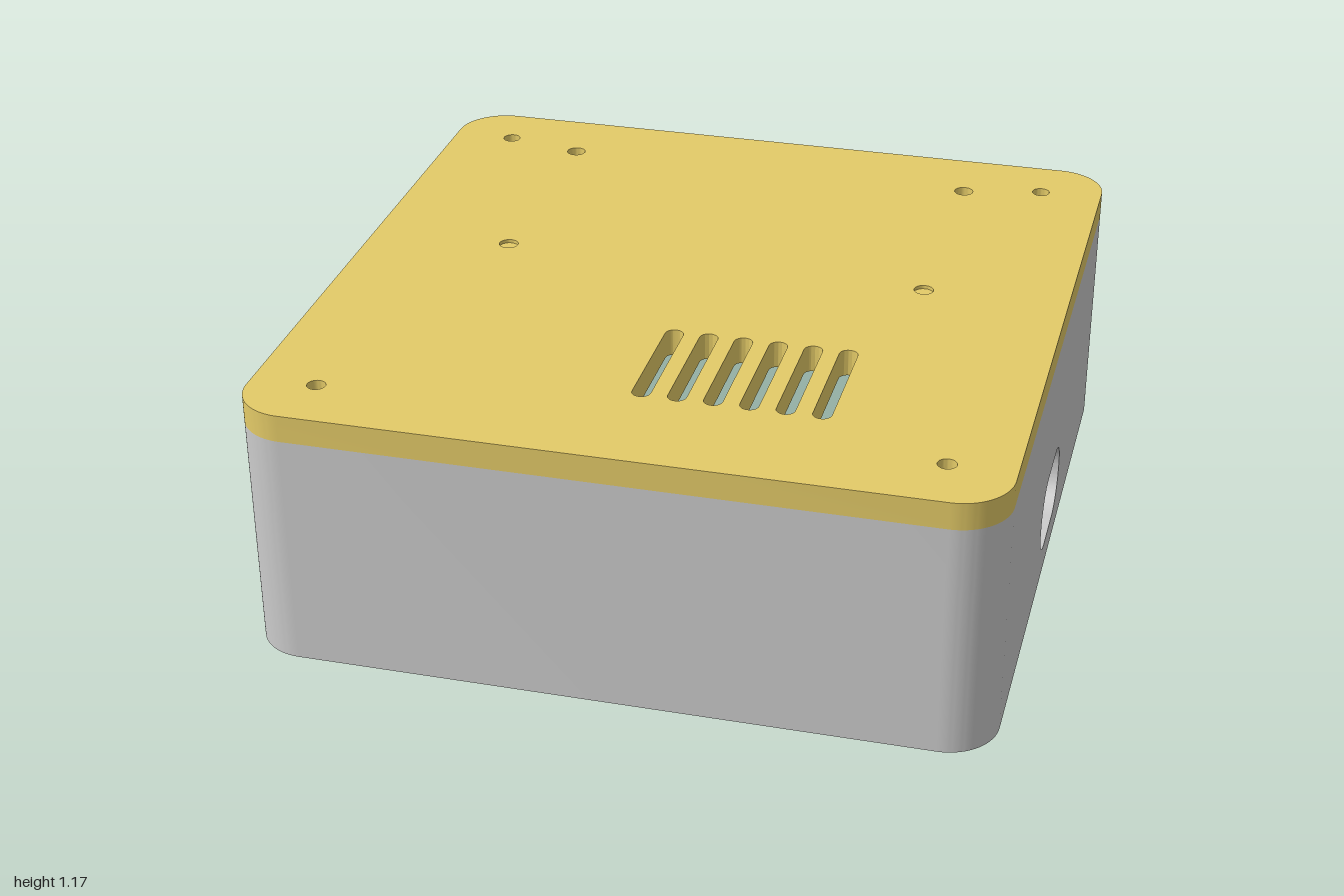
import * as THREE from 'three';
import { toCreasedNormals } from 'three/addons/utils/BufferGeometryUtils.js';

const mat = (color) => new THREE.MeshStandardMaterial({ color });
const grey = mat(0xcccccc), yellow = mat(0xe4cb68), teal = mat(0x94b0a5);
const dark = mat(0x444444), black = mat(0x2c2c2c);
const PI = Math.PI;

export function createModel() {
  const root = new THREE.Group();

  const add = (name, geo, material, x = 0, y = 0, z = 0) => {
    const mesh = new THREE.Mesh(geo, material);
    mesh.name = name;
    mesh.position.set(x, y, z);
    root.add(mesh);
    return mesh;
  };
  const box = (name, material, x0, x1, y0, y1, z0, z1) =>
    add(name, new THREE.BoxGeometry(x1 - x0, y1 - y0, z1 - z0), material,
      (x0 + x1) / 2, (y0 + y1) / 2, (z0 + z1) / 2);
  const rod = (name, material, r, x, y0, y1, z) =>
    add(name, new THREE.CylinderGeometry(r, r, y1 - y0, 32), material, x, (y0 + y1) / 2, z);

  // Rounded rectangle centred on (cx, cy)
  const rounded = (PathType, w, h, r, cx = 0, cy = 0) => {
    const p = new PathType(), a = w / 2 - r, b = h / 2 - r;
    p.absarc(cx + a, cy + b, r, 0, PI / 2);
    p.absarc(cx - a, cy + b, r, PI / 2, PI);
    p.absarc(cx - a, cy - b, r, PI, 1.5 * PI);
    p.absarc(cx + a, cy - b, r, 1.5 * PI, 2 * PI);
    p.closePath();
    return p;
  };
  const circle = (x, y, r) => new THREE.Path().absarc(x, y, r, 0, 2 * PI);
  const extrude = (shape, depth) => toCreasedNormals(
    new THREE.ExtrudeGeometry(shape, { depth, bevelEnabled: false, curveSegments: 14 }), 0.5);
  // Plan shape (x, z) extruded between two heights
  const slab = (name, material, shape, y0, y1) =>
    add(name, extrude(shape, y1 - y0).rotateX(PI / 2), material, 0, y1, 0);

  // Lid with screw holes, mounting holes and vent slots
  const lid = rounded(THREE.Shape, 2, 2, 0.14);
  for (const sx of [-1, 1]) {
    for (const z of [-0.83, 0.82]) lid.holes.push(circle(sx * 0.823, z, 0.025));
    for (const z of [-0.78, -0.105]) lid.holes.push(circle(sx * 0.6, z, 0.027));
  }
  for (let i = 0; i < 6; i++)
    lid.holes.push(rounded(THREE.Path, 0.05, 0.38, 0.0249, i * 0.095, 0.485));
  slab('lid', yellow, lid, 1.1, 1.175);

  // Front, back and one side wall, with rounded corners
  const c = 0.86, R = 0.14, r = 0.09;
  const wall = new THREE.Shape();
  wall.absarc(c, c, R, 0, PI / 2);
  wall.absarc(-c, c, R, PI / 2, PI);
  wall.absarc(-c, -c, R, PI, 1.5 * PI);
  wall.absarc(c, -c, R, 1.5 * PI, 2 * PI);
  wall.absarc(c, -c, r, 2 * PI, 1.5 * PI, true);
  wall.absarc(-c, -c, r, 1.5 * PI, PI, true);
  wall.absarc(-c, c, r, PI, PI / 2, true);
  wall.absarc(c, c, r, PI / 2, 0, true);
  wall.closePath();
  slab('caseWalls', grey, wall, 0.44, 1.1);

  // Side wall with the connector opening
  const side = new THREE.Shape();
  side.moveTo(-c, 0.44).lineTo(c, 0.44).lineTo(c, 1.1).lineTo(-c, 1.1).closePath();
  side.holes.push(rounded(THREE.Path, 0.36, 0.21, 0.1, 0, 0.625));
  add('connectorWall', extrude(side, 0.05).rotateY(PI / 2), grey, 0.95, 0, 0);

  // Underside panel with display window, dome opening and screw holes
  const panel = rounded(THREE.Shape, 1.98, 1.98, 0.13);
  panel.holes.push(rounded(THREE.Path, 1.56, 0.89, 0.01, 0, 0.205));
  panel.holes.push(circle(0, -0.575, 0.135));
  for (const sx of [-1, 1])
    for (const z of [-0.38, 0.71]) {
      panel.holes.push(circle(sx * 0.825, z, 0.05));
      rod('caseScrew', grey, 0.05, sx * 0.825, 0.465, 0.52, z);
    }
  slab('facePanel', grey, panel, 0.44, 0.49);

  // Display: dark bezel with a lighter active area
  box('displayBezel', black, -0.8, 0.8, 0.468, 0.52, -0.26, 0.67);
  box('displayArea', grey, -0.72, 0.71, 0.462, 0.47, -0.13, 0.61);
  box('displayBoard', teal, -0.8, 0.8, 0.52, 0.54, -0.28, 0.69);

  // Sensor dome
  add('sensorDome', new THREE.SphereGeometry(0.125, 40, 24), dark, 0, 0.46, -0.575);
  rod('sensorBase', grey, 0.16, 0, 0.49, 0.53, -0.575);

  // Knobs with their shafts
  const knobProfile = [[0, 0], [0.145, 0], [0.168, 0.006], [0.187, 0.023], [0.195, 0.05],
    [0.195, 0.425], [0, 0.425]].map(([x, y]) => new THREE.Vector2(x, y));
  for (const sx of [-1, 1]) {
    const geo = toCreasedNormals(new THREE.LatheGeometry(knobProfile, 56), 0.6);
    add('knob', geo, yellow, sx * 0.4, 0, -0.575);
    rod('knobWasher', grey, 0.075, sx * 0.4, 0.425, 0.433, -0.575);
    rod('knobShaft', grey, 0.045, sx * 0.4, 0.42, 0.54, -0.575);
  }

  // Corner posts below the lid screws
  for (const sx of [-1, 1]) {
    for (const z of [-0.83, 0.82]) rod('cornerPost', grey, 0.07, sx * 0.823, 0.48, 1.12, z);
    rod('lidPost', yellow, 0.06, sx * 0.6, 0.77, 1.165, -0.105);
  }

  // Circuit board with pins, socket and header block
  box('circuitBoard', teal, -0.72, 0.72, 0.74, 0.765, -0.86, 0.74);
  box('boardTab', teal, 0.72, 0.9, 0.74, 0.765, -0.3, 0.3);
  for (let i = 0; i < 5; i++) rod('boardPin', dark, 0.008, 0.455, 0.765, 0.79, 0.39 + i * 0.065);
  const socket = rounded(THREE.Shape, 0.21, 0.075, 0.037);
  socket.holes.push(rounded(THREE.Path, 0.18, 0.05, 0.024));
  add('socketShell', extrude(socket, 0.2).rotateY(PI / 2), grey, 0.7, 0.675, 0);
  box('socketTongue', dark, 0.7, 0.88, 0.669, 0.682, -0.07, 0.07);
  for (const z of [-0.08, 0.08]) box('socketLeg', grey, 0.72, 0.8, 0.7, 0.74, z - 0.01, z + 0.01);
  box('headerBlock', dark, 0.5, 0.75, 0.54, 0.61, -0.04, 0.17);
  for (const z of [0, 0.06, 0.12]) box('headerPin', grey, 0.6, 0.62, 0.61, 0.74, z - 0.008, z + 0.008);

  return root;
}
